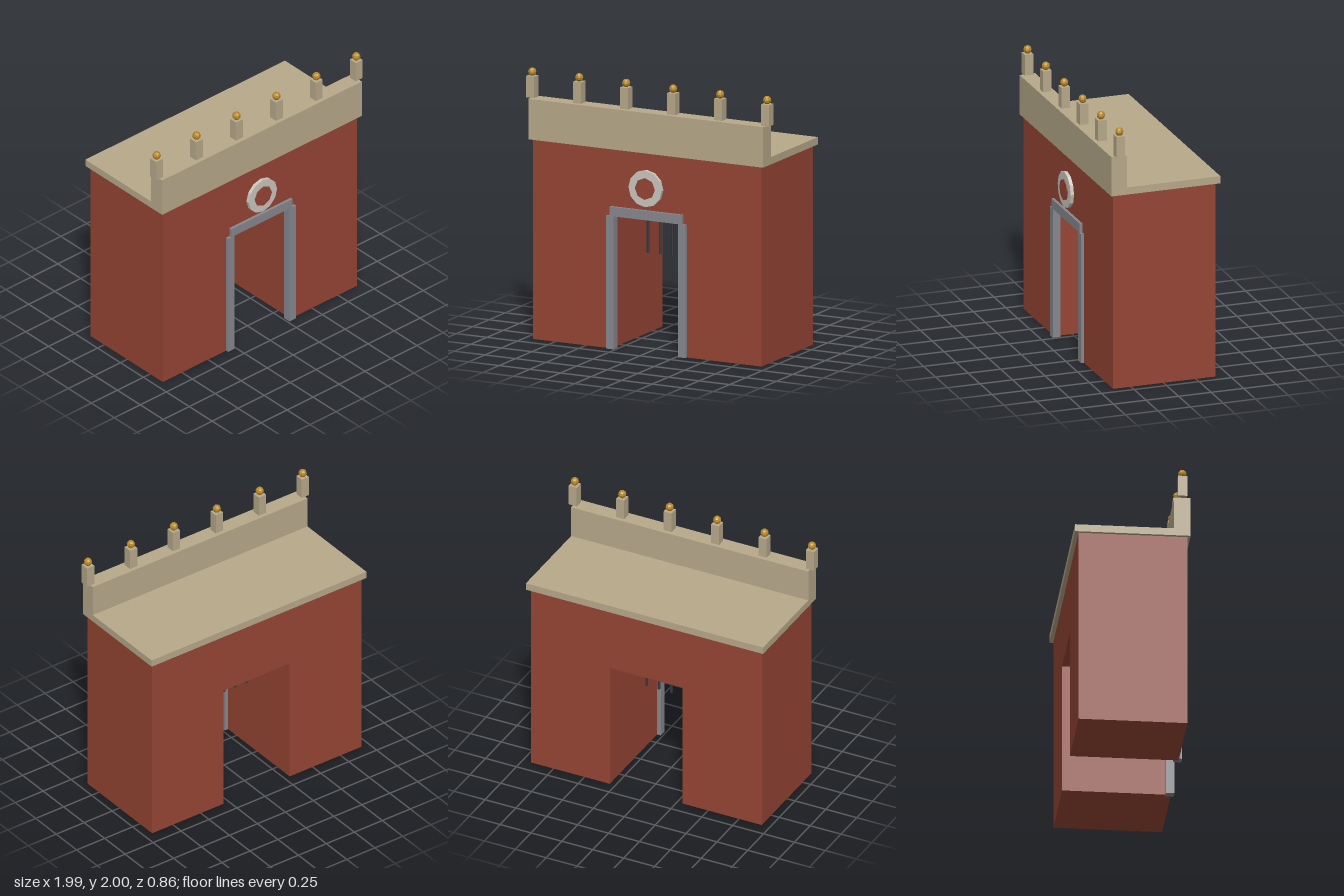
import * as THREE from 'three';

function material(name, color) {
  const m = new THREE.MeshStandardMaterial({ color });
  m.name = name;
  return m;
}

export function createModel() {
  const gate = new THREE.Group();
  gate.name = 'gatehouse';

  const brick = material('red brick', 0x964534);
  const sandstone = material('sandstone', 0xb7a98a);
  const greyStone = material('grey stone', 0x87888e);
  const paleStone = material('pale stone', 0xcbc7be);
  const iron = material('dark iron', 0x34373d);
  const gold = material('gold', 0xb88a26);
  for (const m of [iron, gold, paleStone]) m.flatShading = true;

  function add(name, geometry, mat, x = 0, y = 0, z = 0) {
    const mesh = new THREE.Mesh(geometry, mat);
    mesh.name = name;
    mesh.position.set(x, y, z);
    gate.add(mesh);
    return mesh;
  }

  // Box given by its lower and upper limits
  function block(name, mat, [x0, x1], [y0, y1], [z0, z1]) {
    return add(name, new THREE.BoxGeometry(x1 - x0, y1 - y0, z1 - z0), mat,
      (x0 + x1) / 2, (y0 + y1) / 2, (z0 + z1) / 2);
  }

  // Brick body with a passage running right through
  const outline = new THREE.Shape([
    [-0.935, 0], [-0.295, 0], [-0.295, 0.987], [0.295, 0.987],
    [0.295, 0], [0.935, 0], [0.935, 1.48], [-0.935, 1.48],
  ].map(([x, y]) => new THREE.Vector2(x, y)));
  add('body', new THREE.ExtrudeGeometry(outline, { depth: 0.788, bevelEnabled: false }),
    brick, 0, 0, -0.4);

  // Roof slab and front parapet as one L-shaped section
  const section = new THREE.Shape([
    [-0.41, 1.48], [0.428, 1.48], [0.428, 1.535],
    [-0.29, 1.535], [-0.29, 1.78], [-0.41, 1.78],
  ].map(([z, y]) => new THREE.Vector2(z, y)));
  const roof = add('roofAndParapet',
    new THREE.ExtrudeGeometry(section, { depth: 1.92, bevelEnabled: false }), sandstone, -0.96);
  roof.rotation.y = Math.PI / 2;

  // Posts with ball finials along the parapet
  for (let i = 0; i < 6; i++) {
    const x = -0.96 + i * 0.384;
    block('post', sandstone, [x - 0.0325, x + 0.0325], [1.782, 1.94], [0.316, 0.382]);
    add('finial', new THREE.SphereGeometry(0.031, 8, 6), gold, x, 1.969, 0.349);
  }

  // Stone door frame
  for (const s of [-1, 1]) {
    block('doorJamb', greyStone, [s * 0.295 - 0.031, s * 0.295 + 0.031], [0, 0.985], [0.35, 0.41]);
  }
  block('lintel', greyStone, [-0.295, 0.295], [0.985, 1.055], [0.35, 0.41]);

  // Hanging bars of the raised grille
  for (let i = -2; i <= 2; i++) {
    add('grilleBar', new THREE.CylinderGeometry(0.01, 0.01, 0.347, 6), iron, i * 0.1, 0.8135, 0);
  }

  // Round medallion above the door
  const ring = add('medallionRing', new THREE.CylinderGeometry(0.136, 0.136, 0.026, 12),
    paleStone, 0, 1.22, 0.407);
  const centre = add('medallionCentre', new THREE.CylinderGeometry(0.08, 0.08, 0.034, 8),
    brick, 0, 1.22, 0.411);
  ring.rotation.x = centre.rotation.x = Math.PI / 2;

  return gate;
}
